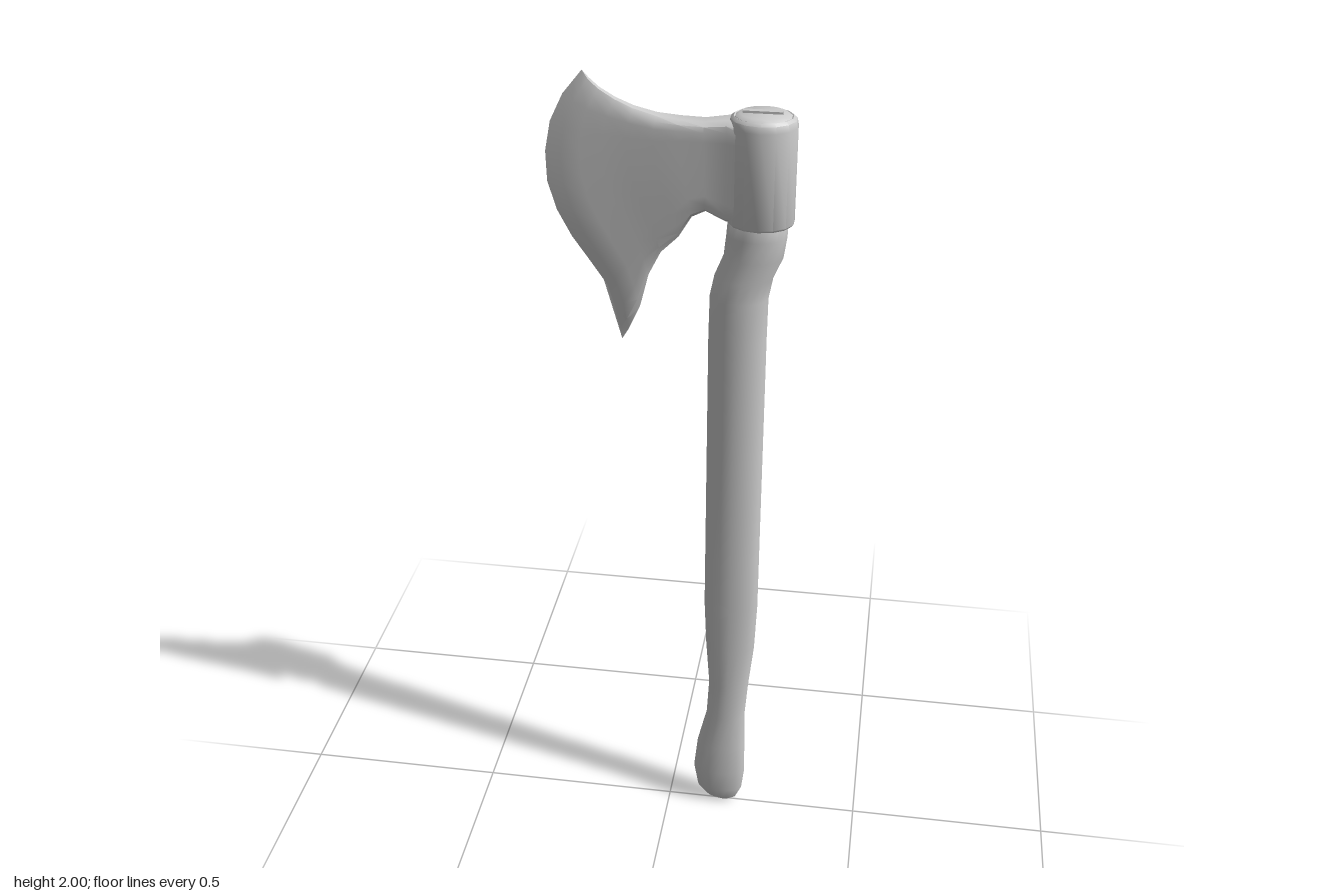
import * as THREE from 'three';
import { toCreasedNormals } from 'three/addons/utils/BufferGeometryUtils.js';

const material = new THREE.MeshStandardMaterial({ color: 0xcccccc });

// Skin a list of closed rings (arrays of Vector3) and cap both ends with a fan.
function loft(rings) {
  const n = rings[0].length, last = rings.length - 1;
  const points = rings.flat();
  const index = [];
  for (let i = 0; i < last; i++) {
    for (let j = 0; j < n; j++) {
      const a = i * n + j, b = i * n + (j + 1) % n;
      index.push(a, a + n, b, b, a + n, b + n);
    }
  }
  for (const [ring, flip] of [[0, false], [last, true]]) {
    const centre = points.length;
    points.push(rings[ring].reduce((s, p) => s.add(p), new THREE.Vector3()).divideScalar(n));
    for (let j = 0; j < n; j++) {
      const a = ring * n + j, b = ring * n + (j + 1) % n;
      index.push(centre, flip ? b : a, flip ? a : b);
    }
  }
  const geometry = new THREE.BufferGeometry().setFromPoints(points);
  geometry.setIndex(index);
  return geometry;
}

function addPart(group, name, geometry) {
  const mesh = new THREE.Mesh(geometry, material);
  mesh.name = name;
  group.add(mesh);
  return mesh;
}

// Elliptical sections from the knob to the neck: [y, x min, x max, half depth]
function handleGeometry() {
  const sections = [
    [0.0, 0.135, 0.16, 0.005], [0.012, 0.105, 0.18, 0.015], [0.045, 0.077, 0.195, 0.024],
    [0.11, 0.066, 0.202, 0.032], [0.2, 0.075, 0.2, 0.034], [0.3, 0.098, 0.198, 0.034],
    [0.4, 0.103, 0.205, 0.034], [0.52, 0.094, 0.217, 0.034], [0.65, 0.088, 0.222, 0.035],
    [0.8, 0.088, 0.222, 0.038], [1.1, 0.088, 0.222, 0.044], [1.4, 0.088, 0.222, 0.051],
    [1.5, 0.09, 0.223, 0.052], [1.55, 0.1, 0.232, 0.052], [1.6, 0.12, 0.253, 0.052],
    [1.65, 0.125, 0.26, 0.052], [1.72, 0.13, 0.262, 0.052],
  ];
  return loft(sections.map(([y, x0, x1, depth]) => Array.from({ length: 16 }, (_, k) => {
    const a = k / 16 * Math.PI * 2;
    return new THREE.Vector3((x0 + x1) / 2 + (x1 - x0) / 2 * Math.cos(a), y, depth * Math.sin(a));
  })));
}

// Sections from the socket to the cutting edge, each running from top to beard.
function bladeGeometry() {
  const edge = new THREE.CatmullRomCurve3([
    [-0.19, 2.0], [-0.25, 1.92], [-0.276, 1.82], [-0.273, 1.74], [-0.24, 1.65],
    [-0.19, 1.575], [-0.14, 1.5], [-0.122, 1.44], [-0.112, 1.375],
  ].map(([x, y]) => new THREE.Vector3(x, y, 0)));
  // [top x, top y, bottom x, bottom y, half thickness, bow towards the edge]
  const stations = [
    [0.17, 1.91, 0.17, 1.69, 0.052, 0], [0.125, 1.912, 0.125, 1.685, 0.037, 0],
    [0.075, 1.905, 0.08, 1.705, 0.031, 0], [0.02, 1.907, 0.05, 1.69, 0.029, 0.05],
    [-0.03, 1.912, 0.02, 1.64, 0.025, 0.15], [-0.08, 1.925, -0.02, 1.6, 0.02, 0.28],
    [-0.12, 1.942, -0.05, 1.54, 0.016, 0.45], [-0.155, 1.963, -0.07, 1.46, 0.014, 0.62],
    [-0.177, 1.983, -0.095, 1.405, 0.011, 0.8], [-0.19, 2.0, -0.112, 1.375, 0.0005, 1],
  ];
  const steps = [0, 0.04, 0.1, 0.2, 0.3, 0.4, 0.5, 0.6, 0.7, 0.8, 0.9, 0.96, 1];
  const edgeTop = edge.getPointAt(0), edgeBottom = edge.getPointAt(1);
  return loft(stations.map(([tx, ty, bx, by, half, bow]) => {
    const side = (sign) => steps.map((v) => {
      const bulge = edge.getPointAt(v).sub(edgeTop.clone().lerp(edgeBottom, v));
      const point = new THREE.Vector3(tx, ty, 0).lerp(new THREE.Vector3(bx, by, 0), v);
      point.addScaledVector(bulge, bow);
      // Rounded spine and underside
      const rim = Math.min(v, 1 - v);
      point.z = sign * half * (rim === 0 ? 0.5 : rim < 0.05 ? 0.9 : 1);
      return point;
    });
    return [...side(1), ...side(-1).reverse()];
  }));
}

export function createModel() {
  const group = new THREE.Group();
  group.name = 'axe';

  // Wooden handle with a knob and a bent neck
  const handle = handleGeometry();
  handle.computeVertexNormals();
  addPart(group, 'handle', handle);

  // Flared blade with a pointed beard
  const blade = bladeGeometry();
  addPart(group, 'blade', toCreasedNormals(blade, 0.7));

  // Oval socket around the neck
  const profile = [[0.7, 1.69], [0.95, 1.68], [1, 1.685], [1, 1.9], [0.96, 1.915], [0.86, 1.921], [0.8, 1.918]]
    .map(([r, y]) => new THREE.Vector2(r, y));
  const socket = new THREE.LatheGeometry(profile, 14);
  socket.scale(0.075, 1, 0.066);
  addPart(group, 'socket', toCreasedNormals(socket, 0.7)).position.x = 0.2;

  // End of the handle showing at the top of the socket
  const end = new THREE.LatheGeometry(
    [[0.82, 1.9], [0.82, 1.92], [0.7, 1.926], [0, 1.926]].map(([r, y]) => new THREE.Vector2(r, y)), 14);
  end.scale(0.075, 1, 0.066);
  addPart(group, 'handleEnd', toCreasedNormals(end, 0.7)).position.x = 0.2;

  // Wedge driven into the end of the handle
  addPart(group, 'wedge', new THREE.BoxGeometry(0.086, 0.04, 0.014)).position.set(0.198, 1.911, 0);

  return group;
}
